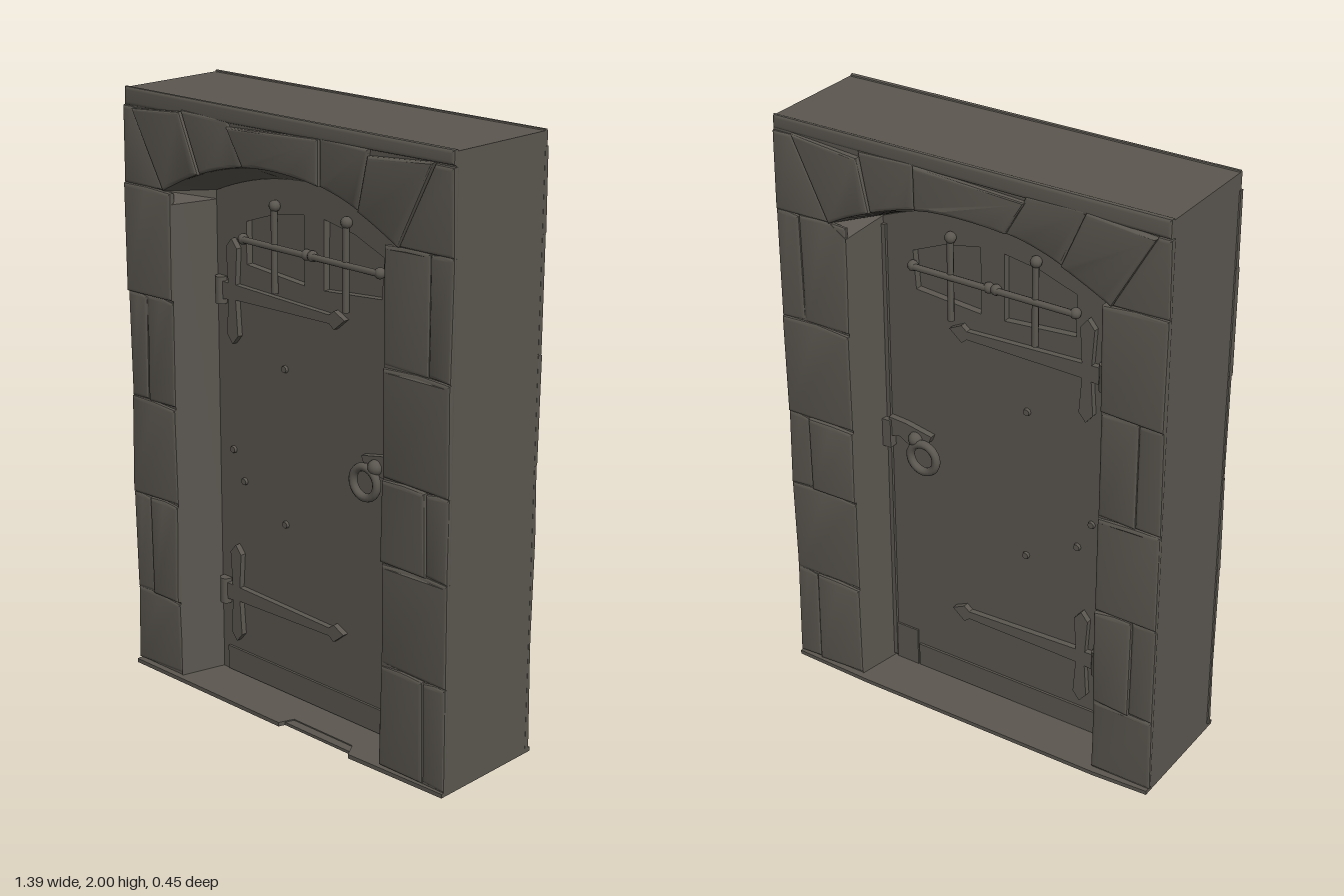
import * as THREE from 'three';
import { toCreasedNormals } from 'three/addons/utils/BufferGeometryUtils.js';

export function createModel() {
  const model = new THREE.Group();
  model.name = 'stoneDoorway';
  const stone = new THREE.MeshStandardMaterial({ color: 0x5b5750 });
  stone.name = 'dark weathered stone';

  function add(parent, name, geo, x = 0, y = 0, z = 0) {
    const mesh = new THREE.Mesh(geo, stone);
    mesh.name = name;
    mesh.position.set(x, y, z);
    parent.add(mesh);
    return mesh;
  }
  const toShape = (pts) => new THREE.Shape(pts.map(([x, y]) => new THREE.Vector2(x, y)));
  const slab = (shape, z0, z1) => new THREE.ExtrudeGeometry(shape, { depth: z1 - z0, bevelEnabled: false }).translate(0, 0, z0);

  // Shallow arch between two x positions
  function arch(x0, x1, spring, apex, n = 20) {
    const pts = [];
    for (let i = 0; i <= n; i++) {
      const t = i / n;
      pts.push([x0 + (x1 - x0) * t, spring + (apex - spring) * (1 - (2 * t - 1) ** 2)]);
    }
    return pts;
  }
  const archY = (x) => 1.69 + 0.14 * (1 - ((x + 0.01) / 0.5) ** 2);
  const outer = [[-0.48, 0.01], [-0.48, 1.65], ...arch(-0.51, 0.49, 1.69, 1.83), [0.43, 1.65], [0.43, 0.01]];
  const inner = [[-0.435, 0.01], [-0.435, 1.65], ...arch(-0.435, 0.4, 1.68, 1.77), [0.4, 1.65], [0.4, 0.01]];

  // Wall block with the arched opening
  const wall = toShape([[-0.69, 0], [0.69, 0], [0.69, 1.995], [-0.69, 1.995]]);
  wall.holes.push(toShape(outer));
  add(model, 'wall', slab(wall, -0.2, 0.2));

  // Door leaf with two arched window openings and a thin pane behind the bars
  const windows = [
    [[-0.3, 1.46], [-0.045, 1.44], [-0.045, 1.665], [-0.17, 1.645], [-0.3, 1.6]],
    [[0.04, 1.44], [0.28, 1.46], [0.29, 1.59], [0.17, 1.64], [0.04, 1.665]],
  ];
  const leaf = toShape(inner);
  windows.forEach((w) => leaf.holes.push(toShape(w)));
  add(model, 'doorLeaf', slab(leaf, -0.05, 0.05));
  add(model, 'windowPanes', new THREE.BoxGeometry(0.66, 0.26, 0.05), 0, 1.55, 0);

  // Thin uneven floor plate
  const plate = toShape([[-0.69, -0.222], [0, -0.222], [0.02, -0.17], [0.28, -0.17], [0.31, -0.222], [0.69, -0.21],
    [0.69, 0.215], [0.4, 0.225], [-0.5, 0.225], [-0.69, 0.215]]);
  add(model, 'floorPlate', slab(plate, 0, 0.014).rotateX(-Math.PI / 2));

  // Bevelled stone with a gently uneven face
  function block(pts, z, lift) {
    const geo = new THREE.ExtrudeGeometry(toShape(pts), {
      depth: lift, bevelEnabled: true, bevelThickness: 0.009, bevelSize: 0.012, bevelOffset: -0.012, bevelSegments: 3,
    });
    const p = geo.attributes.position;
    for (let i = 0; i < p.count; i++) {
      if (p.getZ(i) < lift * 0.5) continue;
      p.setZ(i, p.getZ(i) + 0.004 * Math.sin(p.getX(i) * 17 + p.getY(i) * 11));
    }
    geo.computeVertexNormals();
    return toCreasedNormals(geo, 0.5).translate(0, 0, z);
  }

  // Both faces carry the same trim; x is flipped before the half turn
  for (const s of [1, -1]) {
    const side = new THREE.Group();
    side.name = s > 0 ? 'frontSide' : 'backSide';
    side.rotation.y = s > 0 ? 0 : Math.PI;
    model.add(side);
    const flip = (pts) => pts.map(([x, y]) => [x * s, y]);

    // Splayed reveal from the wall face down to the door
    const pos = [], idx = [];
    outer.forEach(([x, y], i) => {
      pos.push(x * s, y, 0.204, inner[i][0] * s, inner[i][1], 0.045);
      if (i === 0) return;
      const a = 2 * i - 2, quad = [a, a + 1, a + 2, a + 1, a + 3, a + 2];
      idx.push(...(s > 0 ? quad : quad.reverse()));
    });
    const reveal = new THREE.BufferGeometry();
    reveal.setAttribute('position', new THREE.Float32BufferAttribute(pos, 3));
    reveal.setIndex(idx);
    reveal.computeVertexNormals();
    add(side, 'reveal', toCreasedNormals(reveal, 0.5));

    // Jamb stones, some split into a wide and a narrow block
    const columns = [
      { out: -0.695, in: -0.48, split: -0.61, ys: [0.015, 0.28, 0.63, 0.97, 1.33, 1.69] },
      { out: 0.692, in: 0.43, split: 0.605, ys: [0.015, 0.36, 0.7, 0.97, 1.32, 1.69] },
    ];
    columns.forEach((c, k) => {
      for (let i = 0; i < 5; i++) {
        const y0 = c.ys[i], y1 = c.ys[i + 1], lift = 0.003 + 0.004 * ((i * 2 + k) % 3);
        const quad = (a, b) => [[a, y0], [b, y0 + 0.005], [b, y1 - 0.004], [(a + b) / 2, y1 + 0.003], [a, y1]];
        if ((i + k) % 2) {
          add(side, 'jambStone', block(flip(quad(c.out, c.split)), 0.195, 0.004));
          add(side, 'jambStone', block(flip(quad(c.split, c.in)), 0.195, lift));
        } else add(side, 'jambStone', block(flip(quad(c.out, c.in)), 0.195, lift));
      }
    });

    // Arch stones fanning over the opening
    const low = [-0.51, -0.34, -0.15, 0.17, 0.33, 0.49];
    const high = [-0.65, -0.42, -0.22, 0.17, 0.37, 0.62];
    for (let i = 0; i < 5; i++) {
      const pts = [];
      for (let j = 0; j <= 6; j++) {
        const x = low[i] + (low[i + 1] - low[i]) * j / 6;
        pts.push([x, archY(x)]);
      }
      pts.push([high[i + 1], 1.955], [high[i], i % 2 ? 1.96 : 1.935]);
      add(side, 'archStone', block(flip(pts), 0.195, i % 2 ? 0.007 : 0.014));
    }
    add(side, 'cornerStone', block(flip([[-0.695, 1.69], [-0.51, 1.69], [-0.65, 1.94], [-0.695, 1.94]]), 0.195, 0.006));
    add(side, 'cornerStone', block(flip([[0.692, 1.69], [0.49, 1.69], [0.62, 1.95], [0.692, 1.95]]), 0.195, 0.006));
    add(side, 'topCourse', block(flip([[-0.69, 1.94], [0.69, 1.955], [0.69, 2], [-0.69, 2]]), 0.195, 0.003));

    // Strap hinges: tapered arm with an arrow tip and an upright with flared ends
    for (const [y, up, down] of [[1.36, 0.18, 0.17], [0.31, 0.18, 0.17]]) {
      const strap = [[-0.42, 0.032], [-0.33, 0.03], [0.08, 0.016], [0.1, 0.032], [0.145, 0.01],
        [0.1, -0.028], [0.08, -0.012], [-0.33, -0.02], [-0.42, -0.03]];
      const upright = [[-0.375, -down + 0.03], [-0.35, -down], [-0.325, -down + 0.03], [-0.335, 0],
        [-0.325, up - 0.03], [-0.35, up], [-0.375, up - 0.03], [-0.365, 0]];
      [['hingeStrap', strap], ['hingeUpright', upright]].forEach(([name, pts]) =>
        add(side, name, slab(toShape(flip(pts)), 0.045, 0.07), 0, y, 0));
      add(side, 'hingeKnuckle', new THREE.CylinderGeometry(0.02, 0.02, 0.09, 12), -0.41 * s, y, 0.06);
    }

    // Window bars and the rim under the glass
    for (const x of [-0.163, 0.143]) {
      add(side, 'uprightBar', new THREE.CylinderGeometry(0.011, 0.011, 0.29, 8), x * s, 1.54, 0.062);
      add(side, 'barEnd', new THREE.SphereGeometry(0.019, 10, 8), x * s, 1.675, 0.06);
      add(side, 'crossBar', new THREE.CylinderGeometry(0.011, 0.011, 0.29, 8).rotateZ(Math.PI / 2), x * s, 1.545, 0.068);
      for (const e of [-0.14, 0.14]) add(side, 'barEnd', new THREE.SphereGeometry(0.018, 10, 8), (x + e) * s, 1.545, 0.062);
    }

    // Ring handle, latch plate and keeper
    add(side, 'latchPlate', slab(toShape(flip([[0.31, 0.9], [0.345, 0.92], [0.385, 0.91], [0.385, 0.98], [0.32, 0.975], [0.22, 0.955], [0.23, 0.93]])), 0.045, 0.072));
    add(side, 'handleRing', new THREE.TorusGeometry(0.05, 0.014, 10, 24), 0.245 * s, 0.875, 0.082);
    add(side, 'handleBoss', new THREE.SphereGeometry(0.026, 12, 8), 0.28 * s, 0.93, 0.072);
    add(side, 'keeper', new THREE.BoxGeometry(0.04, 0.1, 0.04), 0.395 * s, 0.92, 0.06);

    // Kick boards, edge strip and nail heads
    add(side, 'kickBoard', new THREE.BoxGeometry(0.7, 0.085, 0.02), -0.055 * s, 0.06, 0.048);
    add(side, 'kickBoard', new THREE.BoxGeometry(0.085, 0.14, 0.016), 0.345 * s, 0.085, 0.048);
    add(side, 'edgeStrip', new THREE.BoxGeometry(0.014, 1.63, 0.02), 0.394 * s, 0.84, 0.05);
    for (const [x, y] of [[-0.13, 1.15], [-0.37, 0.82], [-0.32, 0.72], [-0.13, 0.62]]) {
      add(side, 'nailHead', new THREE.CylinderGeometry(0.011, 0.014, 0.012, 8).rotateX(Math.PI / 2), x * s, y, 0.053);
    }
  }
  return model;
}
